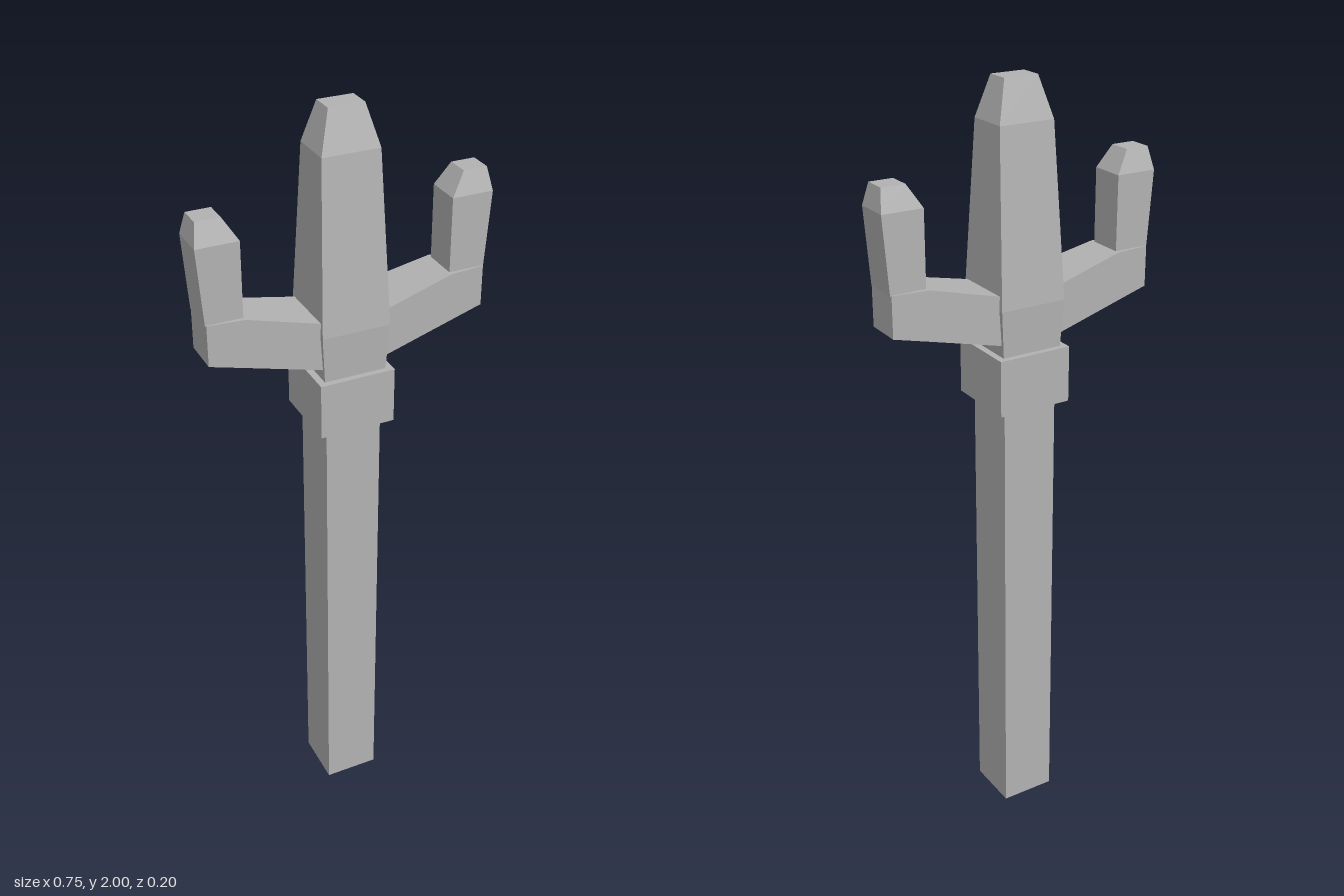
import * as THREE from 'three';

const grey = new THREE.MeshStandardMaterial({ color: 0xb2b2b2, flatShading: true });
grey.name = 'grey';

// Closed flat-shaded solid through four-cornered rings (counter-clockwise seen from the far end)
function loft(rings) {
  const points = [];
  const quad = (a, b, c, d) => points.push(...a, ...b, ...c, ...a, ...c, ...d);
  for (let i = 0; i < rings.length - 1; i++) {
    const near = rings[i], far = rings[i + 1];
    for (let k = 0; k < 4; k++) {
      const n = (k + 1) % 4;
      quad(near[k], near[n], far[n], far[k]);
    }
  }
  const first = rings[0], last = rings[rings.length - 1];
  quad(last[0], last[1], last[2], last[3]);
  quad(first[3], first[2], first[1], first[0]);
  const geometry = new THREE.BufferGeometry();
  geometry.setAttribute('position', new THREE.Float32BufferAttribute(points, 3));
  geometry.computeVertexNormals();
  return geometry;
}

// Rectangular ring at height y
const ringY = (y, x0, x1, z) => [[x0, y, z], [x1, y, z], [x1, y, -z], [x0, y, -z]];
// Rectangular ring at sideways position x
const ringX = (x, y0, y1, z) => [[x, y0, z], [x, y0, -z], [x, y1, -z], [x, y1, z]];

function part(name, geometry) {
  const mesh = new THREE.Mesh(geometry, grey);
  mesh.name = name;
  return mesh;
}

export function createModel() {
  const model = new THREE.Group();
  model.name = 'trident';

  // Square shaft and collar
  model.add(part('shaft', loft([
    ringY(0, -0.073, 0.073, 0.073),
    ringY(1.21, -0.073, 0.073, 0.073),
  ])));
  model.add(part('collar', loft([
    ringY(1.205, -0.098, 0.098, 0.098),
    ringY(1.35, -0.098, 0.098, 0.098),
  ])));

  // Tapered central prong
  model.add(part('centralProng', loft([
    ringY(1.34, -0.08, 0.08, 0.082),
    ringY(1.47, -0.088, 0.088, 0.088),
    ringY(1.9, -0.073, 0.073, 0.056),
    ringY(2, -0.045, 0.045, 0.03),
  ])));

  // Arm bending up into a side prong
  const armGeometry = loft([
    ringX(0.07, 1.378, 1.502, 0.077),
    ringX(0.266, 1.424, 1.55, 0.059),
    ringX(0.358, 1.445, 1.55, 0.05),
  ]);
  const prongGeometry = loft([
    ringY(1.548, 0.267, 0.36, 0.047),
    ringY(1.74, 0.267, 0.374, 0.047),
    ringY(1.796, 0.302, 0.364, 0.03),
  ]);
  for (const side of ['left', 'right']) {
    const group = new THREE.Group();
    group.name = side + 'Side';
    group.add(part(side + 'Arm', armGeometry), part(side + 'Prong', prongGeometry));
    if (side === 'right') group.rotation.y = Math.PI;
    model.add(group);
  }
  return model;
}
